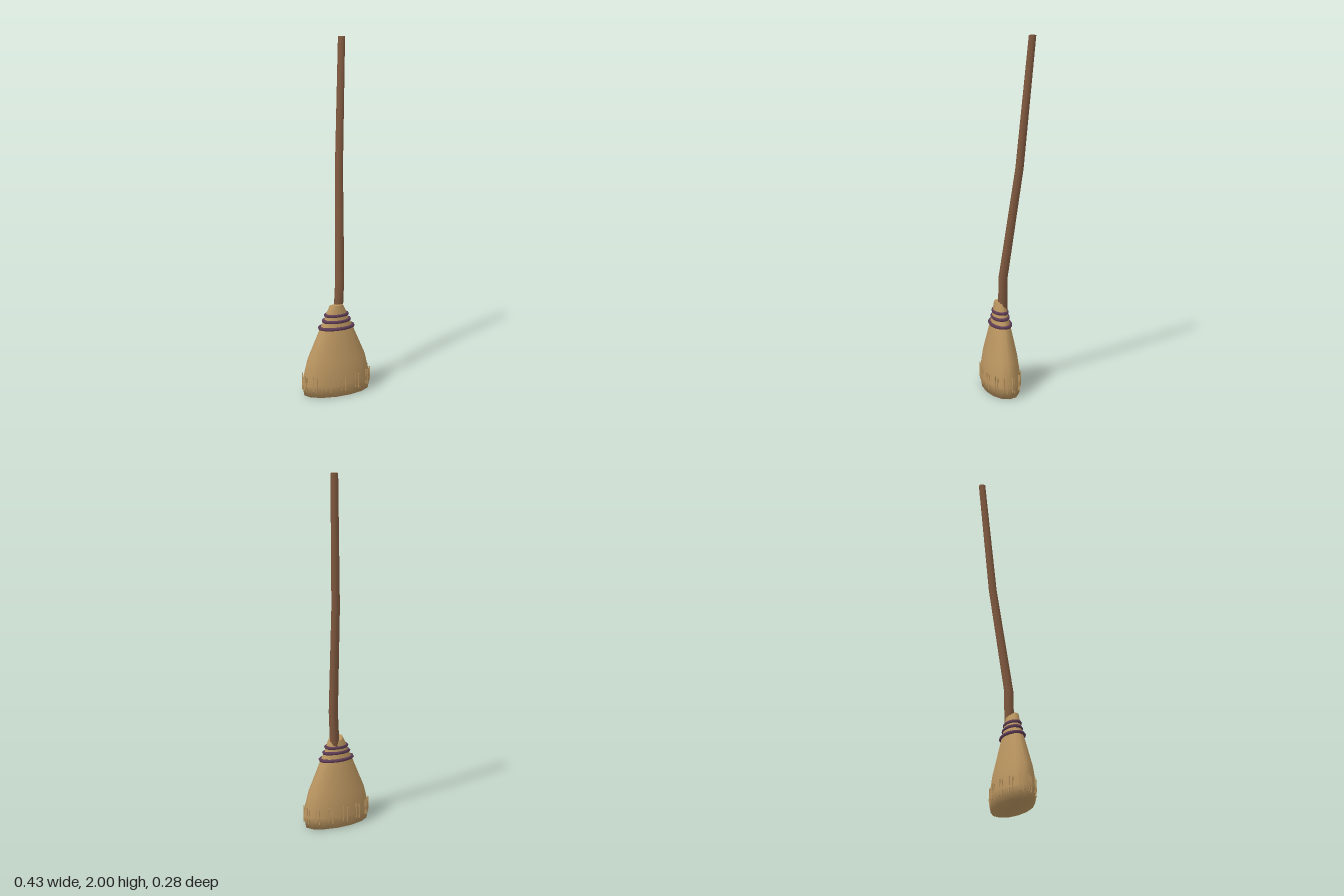
import * as THREE from 'three';

const SIDES = 14;
const CENTRE_Z = 0.033;

// Smooth closed skin through elliptical levels: [y, halfX, halfZ, centreX, centreZ]
function loft(levels, sides) {
  const pos = [], idx = [];
  for (const [y, a, b, cx, cz] of levels) {
    for (let j = 0; j < sides; j++) {
      const t = (j / sides) * Math.PI * 2;
      pos.push(cx + a * Math.cos(t), y, cz + b * Math.sin(t));
    }
  }
  for (let i = 0; i < levels.length - 1; i++) {
    for (let j = 0; j < sides; j++) {
      const k = (j + 1) % sides;
      const a = i * sides + j, b = i * sides + k;
      idx.push(a, a + sides, b, b, a + sides, b + sides);
    }
  }
  const first = levels[0], last = levels[levels.length - 1];
  const low = pos.length / 3, high = low + 1, top = (levels.length - 1) * sides;
  pos.push(first[3], first[0], first[4], last[3], last[0], last[4]);
  for (let j = 0; j < sides; j++) {
    const k = (j + 1) % sides;
    idx.push(low, j, k, high, top + k, top + j);
  }
  const g = new THREE.BufferGeometry();
  g.setAttribute('position', new THREE.Float32BufferAttribute(pos, 3));
  g.setIndex(idx);
  g.computeVertexNormals();
  return g;
}

// Elliptical cord with a round section of constant thickness
function cord(a, b, r) {
  const g = new THREE.TorusGeometry(1, r, 6, SIDES);
  const p = g.attributes.position;
  for (let i = 0; i < p.count; i++) {
    const t = Math.atan2(p.getY(i), p.getX(i));
    p.setXY(i, p.getX(i) + (a - 1) * Math.cos(t), p.getY(i) + (b - 1) * Math.sin(t));
  }
  g.rotateX(-Math.PI / 2);
  return g;
}

export function createModel() {
  const straw = new THREE.MeshStandardMaterial({ name: 'straw', color: 0xba9560 });
  const wood = new THREE.MeshStandardMaterial({ name: 'wood', color: 0x80593f });
  const purple = new THREE.MeshStandardMaterial({ name: 'purpleCord', color: 0x5f3d57 });
  const broom = new THREE.Group();
  broom.name = 'broom';
  const add = (name, geometry, material, parent = broom) => {
    const mesh = new THREE.Mesh(geometry, material);
    mesh.name = name;
    parent.add(mesh);
    return mesh;
  };

  // Straw head
  const head = [
    [0.0, 0.2, 0.098], [0.07, 0.213, 0.11], [0.2, 0.18, 0.092], [0.38, 0.1, 0.054],
    [0.43, 0.075, 0.043], [0.465, 0.062, 0.04], [0.515, 0.038, 0.034], [0.515, 0.038, 0.034],
  ].map(([y, a, b]) => [y, a, b, 0, CENTRE_Z]);
  const headGeometry = loft(head, SIDES);
  // The top of the head slopes down towards the back
  const p = headGeometry.attributes.position;
  for (let i = 0; i < p.count; i++) {
    if (p.getY(i) > 0.5) p.setY(i, p.getY(i) - Math.max(0, CENTRE_Z - p.getZ(i)) * 0.6);
  }
  headGeometry.computeVertexNormals();
  add('strawHead', headGeometry, straw);

  // Loose strands hanging around the widest part
  const strands = new THREE.Group();
  strands.name = 'looseStrands';
  broom.add(strands);
  const corner = (j) => {
    const t = (j / SIDES) * Math.PI * 2;
    return new THREE.Vector3(0.211 * Math.cos(t), 0, CENTRE_Z + 0.108 * Math.sin(t));
  };
  for (let j = 0; j < SIDES; j++) {
    const a = corner(j), b = corner(j + 1);
    const turn = Math.atan2(a.z - b.z, b.x - a.x);
    [0.38, 0.66].forEach((f, n) => {
      const s = add('strand', new THREE.BoxGeometry(0.005, 0.085, 0.006), straw, strands);
      s.position.lerpVectors(a, b, f).setY(n ? 0.082 : 0.074);
      s.rotation.y = turn;
    });
  }

  // Cord bindings
  [[0.385, 0.103, 0.056, 0], [0.424, 0.08, 0.043, 0.04], [0.456, 0.067, 0.038, -0.03]]
    .forEach(([y, a, b, tilt]) => {
      const ring = add('cordBinding', cord(a, b, 0.0095), purple);
      ring.position.set(0, y, CENTRE_Z);
      ring.rotation.x = tilt;
    });

  // Crooked handle, slightly tapered
  const handle = [
    [0.42, 0.028, 0.015, 0.022], [0.66, 0.027, 0.026, 0.022], [1.28, 0.024, 0.06, -0.062],
    [2.0, 0.021, 0.102, -0.12], [2.0, 0.021, 0.102, -0.12],
  ].map(([y, r, x, z]) => [y, r, r, x, z]);
  // A separate end disc keeps the top edge crisp
  add('handle', loft(handle.slice(0, 4), 8), wood);
  const end = add('handleEnd', new THREE.CircleGeometry(0.021, 8), wood);
  end.rotation.x = -Math.PI / 2;
  end.position.set(0.102, 2.0005, -0.12);

  return broom;
}
